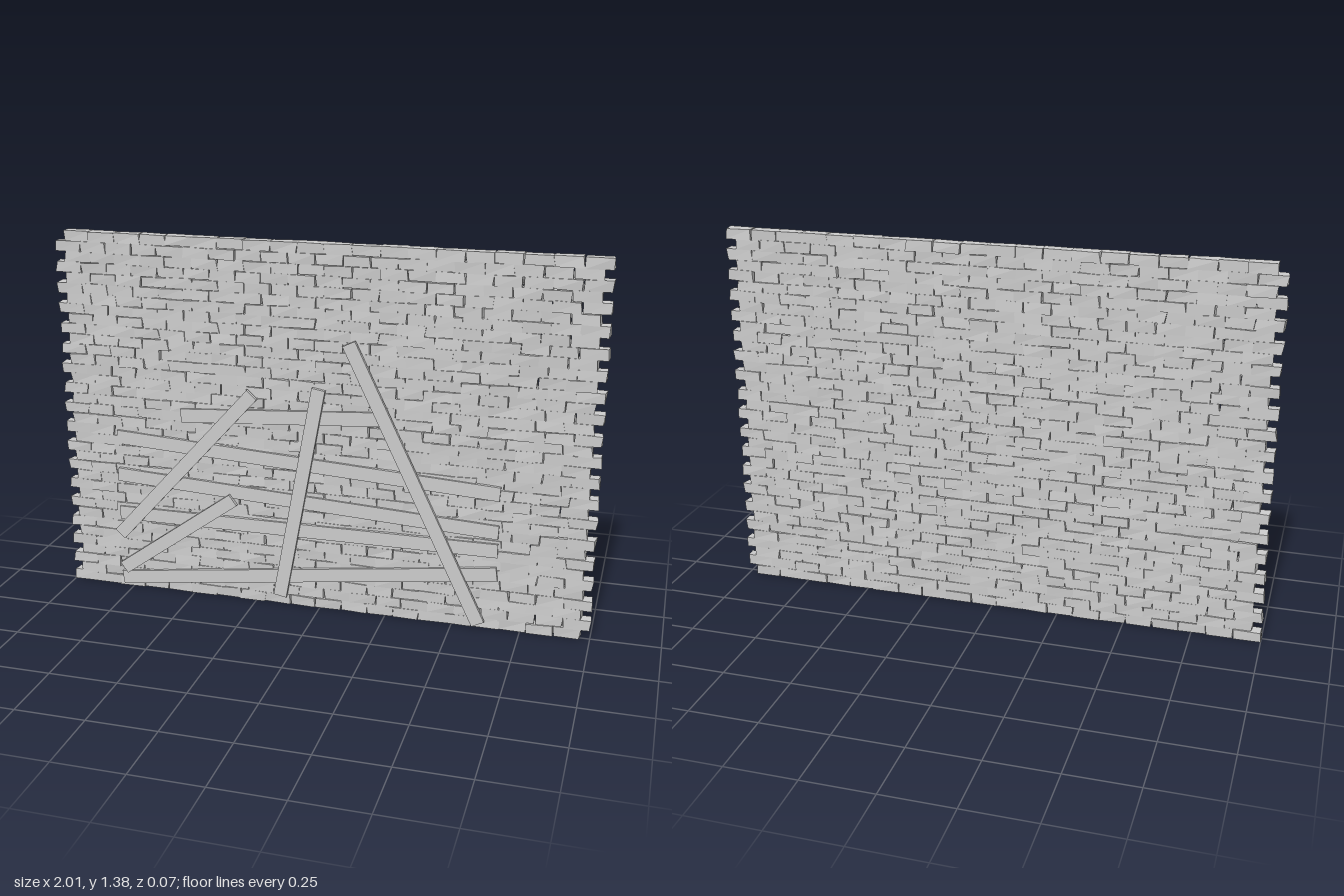
import * as THREE from 'three';
import { mergeGeometries } from 'three/addons/utils/BufferGeometryUtils.js';

const WIDTH = 1.965, HEIGHT = 1.38, ROWS = 36, COLUMNS = 20;

// Small seeded generator, so that the wear is the same every time
function seeded(seed) {
  return () => {
    seed = (seed * 1664525 + 1013904223) % 4294967296;
    return seed / 4294967296;
  };
}

// A box whose eight corners are each nudged a little
function wornBrick(w, h, d, rand) {
  const geometry = new THREE.BoxGeometry(w, h, d);
  const position = geometry.attributes.position;
  const nudge = amount => (rand() - 0.5) * 2 * amount;
  const corners = Array.from({ length: 8 }, () => [nudge(0.0045), nudge(0.0025), nudge(0.002)]);
  for (let i = 0; i < position.count; i++) {
    const x = position.getX(i), y = position.getY(i), z = position.getZ(i);
    const c = corners[(x > 0 ? 1 : 0) + (y > 0 ? 2 : 0) + (z > 0 ? 4 : 0)];
    position.setXYZ(i, x + c[0], y + c[1], z + c[2]);
  }
  return geometry;
}

// Running courses, alternate rows shifted sideways
function brickWall(material) {
  const rand = seeded(17);
  const bricks = [];
  const length = WIDTH / COLUMNS, course = HEIGHT / ROWS;
  for (let row = 0; row < ROWS; row++) {
    const shift = row % 2 ? 0.0165 : -0.0165;
    for (let col = 0; col < COLUMNS; col++) {
      const brick = wornBrick(length - 0.001, course, 0.042, rand);
      brick.translate(
        -WIDTH / 2 + (col + 0.5) * length + shift,
        (row + 0.5) * course,
        -0.0075 + (rand() - 0.5) * 0.006
      );
      bricks.push(brick);
    }
  }
  const geometry = mergeGeometries(bricks);
  // Keep the foot and the top of the wall level
  const position = geometry.attributes.position;
  for (let i = 0; i < position.count; i++) {
    position.setY(i, THREE.MathUtils.clamp(position.getY(i), 0, HEIGHT));
  }
  geometry.computeVertexNormals();
  const mesh = new THREE.Mesh(geometry, material);
  mesh.name = 'brickWall';
  return mesh;
}

// A plank running between two points on the wall face
function plank(name, [x1, y1, x2, y2], width, z, thickness, material) {
  const length = Math.hypot(x2 - x1, y2 - y1);
  const mesh = new THREE.Mesh(new THREE.BoxGeometry(length, width, thickness), material);
  mesh.position.set((x1 + x2) / 2, (y1 + y2) / 2, z);
  mesh.rotation.z = Math.atan2(y2 - y1, x2 - x1);
  mesh.name = name;
  return mesh;
}

export function createModel() {
  const group = new THREE.Group();
  group.name = 'boardedBrickWall';
  const material = new THREE.MeshStandardMaterial({ color: 0xcccccc, flatShading: true });
  group.add(brickWall(material));

  // Lower layer: nearly level boards
  const boards = [
    [-0.53, 0.715, 0.25, 0.765],
    [-0.79, 0.61, 0.66, 0.525],
    [-0.79, 0.46, 0.66, 0.38],
    [-0.79, 0.305, 0.66, 0.31],
    [-0.79, 0.035, 0.66, 0.22],
  ];
  boards.forEach((ends, i) =>
    group.add(plank(`levelBoard${i + 1}`, ends, 0.052, 0.015 + i * 0.0005, 0.014, material)));

  // Upper layer: braces leaning across the boards
  const braces = [
    [-0.79, 0.22, -0.25, 0.82],
    [-0.78, 0.08, -0.33, 0.405],
    [-0.15, 0.04, 0, 0.86],
    [0.6, 0.02, 0.11, 1.035],
  ];
  braces.forEach((ends, i) =>
    group.add(plank(`brace${i + 1}`, ends, 0.05, 0.0275, 0.014, material)));
  return group;
}
